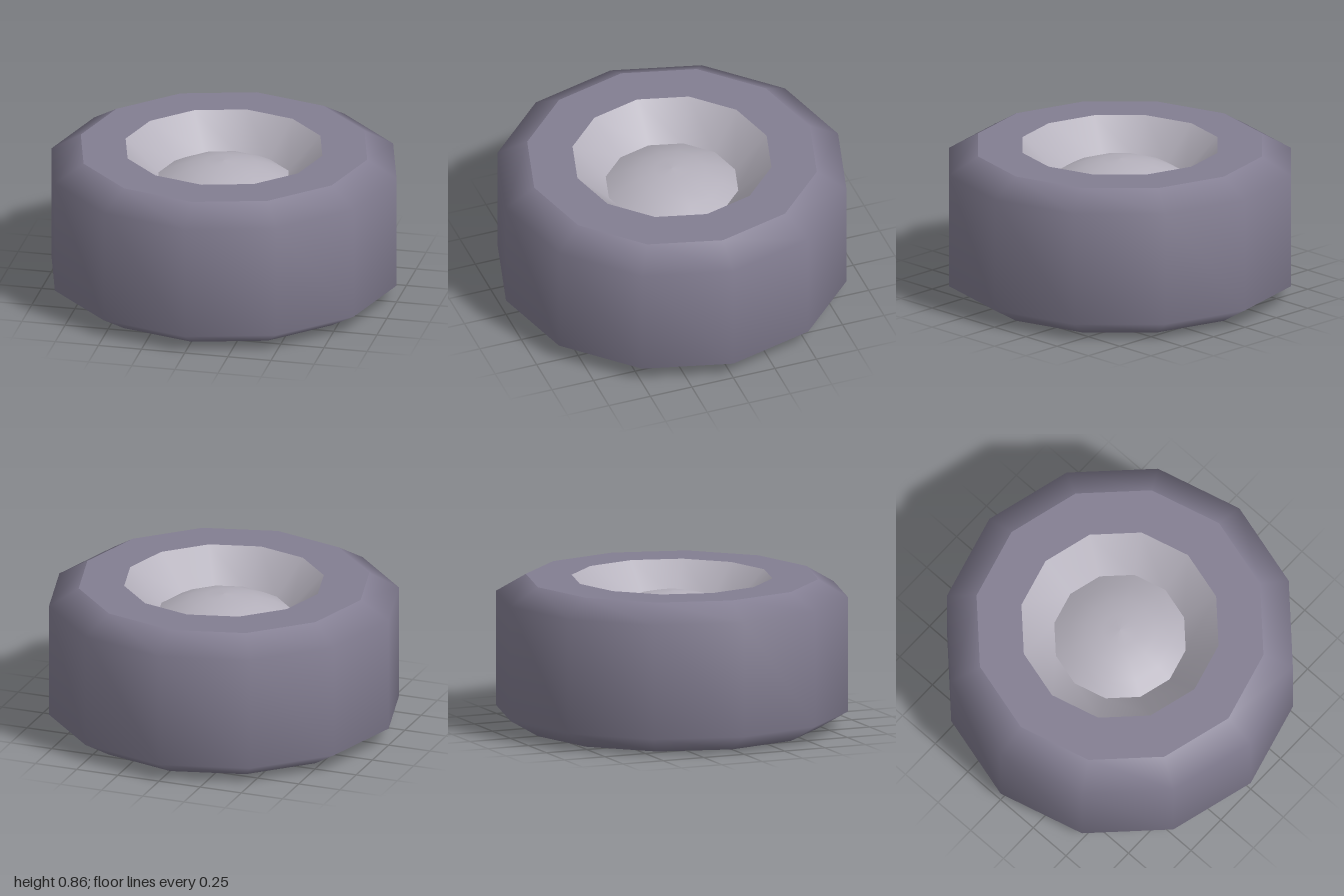
import * as THREE from 'three';

const SIDES = 12;

const tyreMaterial = new THREE.MeshStandardMaterial({ color: 0x837e92 });
tyreMaterial.name = 'purple grey';
const hubMaterial = new THREE.MeshStandardMaterial({ color: 0xb4b0bb });
hubMaterial.name = 'light grey';

// Twelve-sided ring surface; profile runs up the outside and back in over the top
function turned(name, profile, material) {
  const points = profile.map(([r, y]) => new THREE.Vector2(r, y));
  const mesh = new THREE.Mesh(new THREE.LatheGeometry(points, SIDES), material);
  mesh.name = name;
  return mesh;
}

export function createModel() {
  const wheel = new THREE.Group();
  wheel.name = 'wheel';

  // Tyre: flat base, smoothly shaded bevelled tread, flat upper sidewall
  wheel.add(
    turned('tyreBase', [[0, 0], [0.83, 0]], tyreMaterial),
    turned('tyreTread', [[0.83, 0], [1, 0.1], [1, 0.755], [0.83, 0.855]], tyreMaterial),
    turned('tyreSidewall', [[0.83, 0.855], [0.57, 0.855]], tyreMaterial),
  );

  // Rim: funnel sloping down to the hub
  wheel.add(turned('rim', [[0.57, 0.855], [0.38, 0.665]], hubMaterial));

  // Hub cap: shallow dome at the bottom of the funnel
  const dome = [];
  const rise = 0.11;
  const radius = (0.38 ** 2 + rise ** 2) / (2 * rise);
  const spread = Math.asin(0.38 / radius);
  for (let i = 0; i <= 4; i++) {
    const a = spread * (1 - i / 4);
    dome.push([radius * Math.sin(a), 0.665 + rise - radius * (1 - Math.cos(a))]);
  }
  wheel.add(turned('hubCap', dome, hubMaterial));

  return wheel;
}
